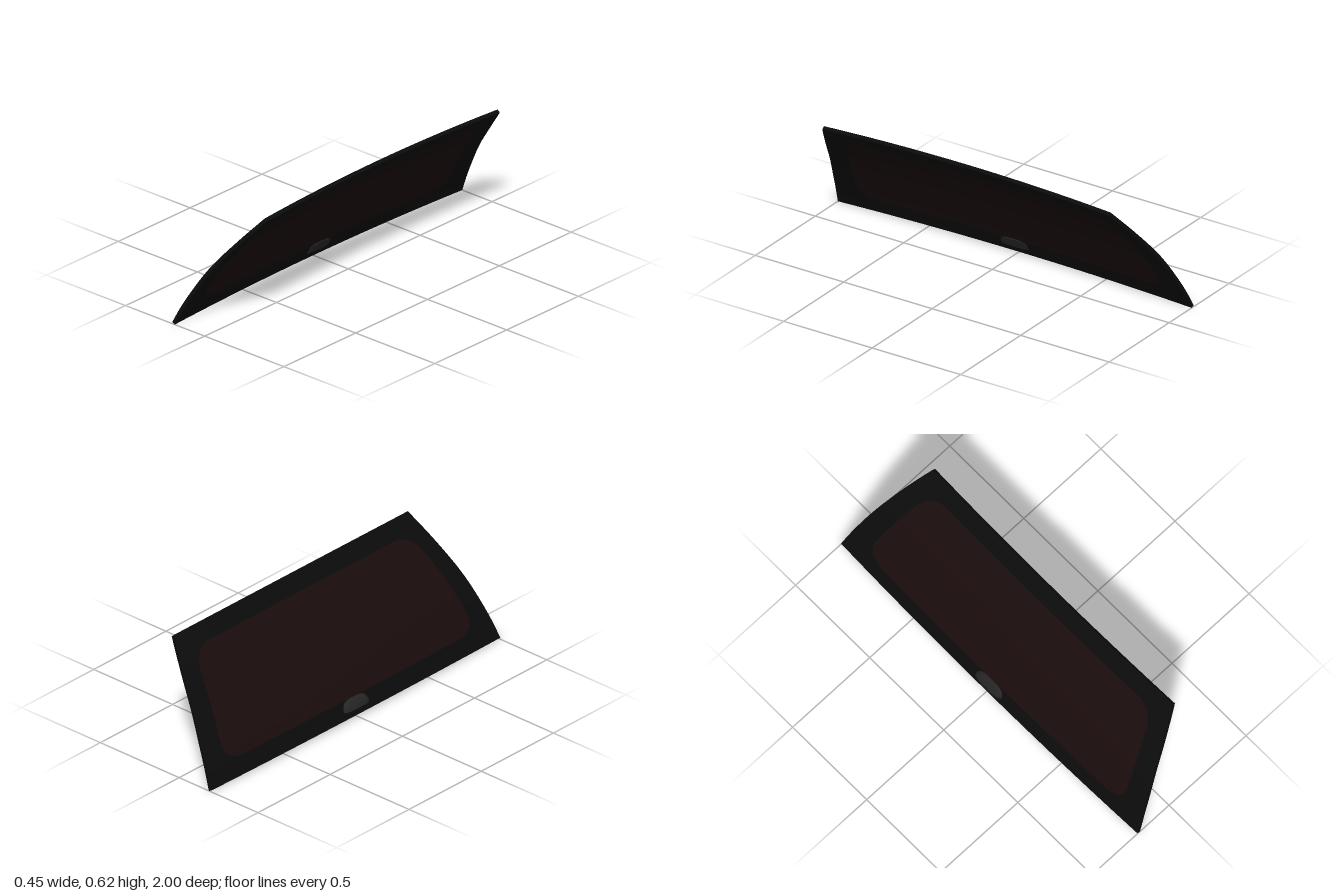
import * as THREE from 'three';
import { toCreasedNormals } from 'three/addons/utils/BufferGeometryUtils.js';

const THICK = 0.018, CROWN = 0.022;

// Centre-line profile of the outer face, bottom to top
const profile = new THREE.CatmullRomCurve3(
  [[-0.225, 0.016], [-0.178, 0.115], [-0.12, 0.218], [-0.075, 0.292], [-0.03, 0.357], [0.08, 0.492], [0.191, 0.621]]
    .map(([x, y]) => new THREE.Vector3(x, y, 0)));

// Point on the curved pane: v across (-1..1), u up (0..1), depth below the outer face
function panePoint(v, u, depth) {
  const p = profile.getPointAt(u), t = profile.getTangentAt(u);
  const drop = CROWN * v * v + depth;
  const halfWidth = 1 - 0.11 * u - 0.08 * u * u;
  return new THREE.Vector3(p.x + t.y * drop, p.y - t.x * drop, v * halfWidth);
}

// Joins closed rings of points into one surface
function loft(rows) {
  const n = rows[0].length, index = [];
  for (let i = 0; i < rows.length - 1; i++) {
    for (let j = 0; j < n; j++) {
      const a = i * n + j, b = i * n + (j + 1) % n;
      index.push(a, a + n, b + n, a, b + n, b);
    }
  }
  const geo = new THREE.BufferGeometry().setFromPoints(rows.flat());
  geo.setIndex(index);
  return toCreasedNormals(geo, 0.6);
}

// Perimeter of the square -1..1, counter-clockwise
function squareLoop(nLong, nShort) {
  const loop = [], corners = [[-1, -1], [1, -1], [1, 1], [-1, 1]];
  corners.forEach(([x, y], k) => {
    const [x2, y2] = corners[(k + 1) % 4], n = k % 2 ? nShort : nLong;
    for (let i = 0; i < n; i++) loop.push([x + (x2 - x) * i / n, y + (y2 - y) * i / n]);
  });
  return loop;
}

// Rounded outline of the tinted area, returned as [v, u]
function roundedOutline([x, y]) {
  const W = 0.9, H = 0.735, r = 0.1, hw = 0.88 * W, hh = 0.375 * H;
  let px = x * hw, py = y * hh;
  const cx = THREE.MathUtils.clamp(px, r - hw, hw - r), cy = THREE.MathUtils.clamp(py, r - hh, hh - r);
  const dx = px - cx, dy = py - cy;
  if (dx && dy) {
    const k = Math.max(Math.abs(dx), Math.abs(dy)) / Math.hypot(dx, dy);
    px = cx + dx * k;
    py = cy + dy * k;
  }
  return [px / W, 0.495 + py / H];
}

export function createModel() {
  const group = new THREE.Group();
  const add = (name, geo, color) => {
    const mesh = new THREE.Mesh(geo, new THREE.MeshStandardMaterial({ color }));
    mesh.name = name;
    group.add(mesh);
  };

  const square = squareLoop(48, 24);
  const inner = square.map(roundedOutline);
  const outer = square.map(([x, y]) => [x, (y + 1) / 2]);
  const ring = (from, to, s, depth) => from.map(([v, u], j) =>
    panePoint(v + (to[j][0] - v) * s, u + (to[j][1] - u) * s, depth));

  // Dark border band: outer face, rim, inner face
  const steps = [0, 0.5, 1];
  add('border', loft([
    ...steps.map(s => ring(inner, outer, s, 0)),
    ...steps.map(s => ring(outer, inner, s, THICK)),
  ]), 0x0b0b0b);

  // Tinted glass, outer and inner faces
  const centre = inner.map(() => [0, 0.495]), N = 8;
  const sheet = Array.from({ length: N + 1 }, (_, i) => i / N);
  add('outerGlass', loft(sheet.map(s => ring(centre, inner, s, 0))), 0x1a0c0c);
  add('innerGlass', loft(sheet.map(s => ring(inner, centre, s, THICK))), 0x1a0c0c);

  // Small lamp housing at the lower centre, with rounded ends
  const section = [[-0.21, 0.043], [-0.227, 0.05], [-0.221, 0.068], [-0.211, 0.084], [-0.2, 0.092],
    [-0.188, 0.095], [-0.166, 0.088], [-0.187, 0.04]];
  const rows = [];
  for (let i = 0; i <= 20; i++) {
    const a = -Math.cos(Math.PI * i / 20);
    const s = Math.pow(Math.max(0, 1 - a ** 4), 0.5);
    rows.push(section.map(([x, y]) =>
      new THREE.Vector3(-0.203 + (x + 0.203) * s, 0.046 + (y - 0.046) * s, a * 0.088)));
  }
  add('lampHousing', loft(rows), 0x242424);

  return group;
}
